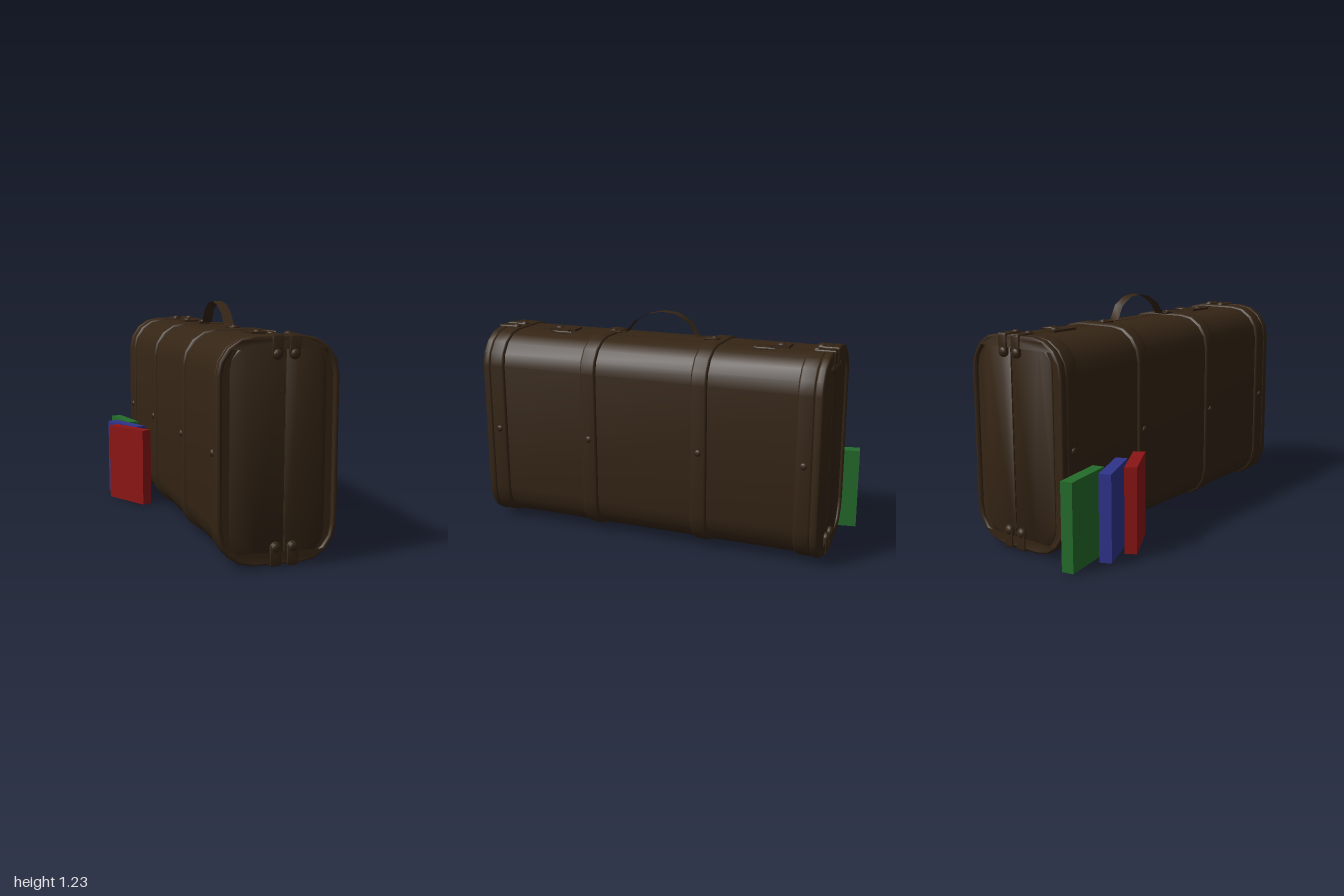
import * as THREE from 'three';
import { toCreasedNormals } from 'three/addons/utils/BufferGeometryUtils.js';

const leather = new THREE.MeshStandardMaterial({ color: 0x352515 });
const strip = new THREE.MeshStandardMaterial({ color: 0x352515, side: THREE.DoubleSide });
const CX = 0.0975, CY = 0.5525, CZ = 0.0325, SEAM = 0.13, TOP = 1.095;

function add(parent, name, geometry, x = 0, y = 0, z = 0, material = leather) {
  const mesh = new THREE.Mesh(geometry, material);
  mesh.name = name;
  mesh.position.set(x, y, z);
  parent.add(mesh);
  return mesh;
}

// Counter-clockwise rectangle with separate corner radii on its -x and +x sides
function outline(x0, x1, y0, y1, r0, r1) {
  const pts = [];
  [[x1, y1, r1, 1, 1], [x0, y1, r0, -1, 1], [x0, y0, r0, -1, -1], [x1, y0, r1, 1, -1]]
    .forEach(([x, y, r, sx, sy], k) => {
      const n = r ? 4 : 0;
      for (let i = 0; i <= n; i++) {
        const a = (k + (n ? i / n : 0)) * Math.PI / 2;
        pts.push(new THREE.Vector2(x - sx * r + r * Math.cos(a), y - sy * r + r * Math.sin(a)));
      }
    });
  return pts;
}

function extrude(shape, depth, bevel = 0, bevelSegments = 2) {
  return toCreasedNormals(new THREE.ExtrudeGeometry(shape, {
    depth: depth - 2 * bevel, bevelEnabled: bevel > 0, bevelThickness: bevel,
    bevelSize: bevel, bevelOffset: -bevel, bevelSegments, curveSegments: 8,
  }).translate(0, 0, bevel), 0.85);
}

// Flat leather tab: round end at the origin, running towards +y
function tabGeometry(width, length, depth) {
  const w = width / 2, shape = new THREE.Shape();
  shape.moveTo(w, 0);
  shape.lineTo(w, length);
  shape.lineTo(-w, length);
  shape.lineTo(-w, 0);
  shape.absarc(0, 0, w, Math.PI, 2 * Math.PI, false);
  return extrude(shape, depth, 0.004);
}

// Domed rivet facing +z
const studGeometry = (r) => new THREE.SphereGeometry(r, 14, 8).scale(1, 1, 0.6);

// Strap folded over the top end edge, measured from the case centre
function cornerStrap() {
  const group = new THREE.Group();
  group.name = 'cornerStrap';
  add(group, 'endTab', tabGeometry(0.054, 0.085, 0.02), 0, 0.4575, 0.945);
  add(group, 'endRivet', studGeometry(0.024), 0, 0.4575, 0.96);
  add(group, 'edgeTab', tabGeometry(0.05, 0.095, 0.016), 0, 0.549, 0.867).rotation.x = Math.PI / 2;
  add(group, 'edgeRivet', studGeometry(0.02), 0, 0.546, 0.867).rotation.x = -Math.PI / 2;
  return group;
}

export function createModel() {
  const model = new THREE.Group();
  model.name = 'suitcaseWithBooks';
  const suitcase = new THREE.Group();
  suitcase.name = 'suitcase';
  model.add(suitcase);

  // Two shells with a narrow seam between them, closed by an inner core
  const g = 0.003;
  const shells = [[-0.19, SEAM - g, 0.175, 0], [SEAM + g, 0.382, 0, 0.175]];
  shells.forEach(([x0, x1, r0, r1], i) => {
    add(suitcase, i ? 'leftShell' : 'rightShell',
      extrude(new THREE.Shape(outline(x0, x1, 0.022, 1.083, r0, r1)), 1.88), 0, 0, CZ - 0.94);
    // Slightly raised end panels
    const a = i ? x0 : -0.14, b = i ? 0.335 : x1;
    const panel = new THREE.Shape(outline(a, b, 0.035, 1.07, r0 * 0.75, r1 * 0.75));
    for (const z of [CZ + 0.939, CZ - 0.945]) add(suitcase, 'endPanel', extrude(panel, 0.006, 0.002, 1), 0, 0, z);
  });
  add(suitcase, 'core', extrude(new THREE.Shape(outline(-0.17, 0.36, 0.032, 1.073, 0.165, 0.165)), 1.87), 0, 0, CZ - 0.935);

  // Rolled rims around both ends
  const rim = new THREE.Shape(outline(-0.205, 0.398, 0.01, TOP, 0.185, 0.185));
  rim.holes.push(new THREE.Path(outline(-0.178, 0.371, 0.034, 1.071, 0.16, 0.16).reverse()));
  for (const z of [0.945, -0.925]) add(suitcase, 'endRim', extrude(rim, 0.046, 0.012, 3), 0, 0, z);

  // Four leather bands with a rivet on each side
  const band = extrude(new THREE.Shape(outline(-0.203, 0.395, 0.012, 1.093, 0.183, 0.183)), 0.09, 0.013, 3);
  for (const z of [0.907, 0.35, -0.28, -0.838]) {
    add(suitcase, 'band', band, 0, 0, z - 0.045);
    add(suitcase, 'sideRivet', studGeometry(0.019), -0.203, 0.55, z).rotation.y = -Math.PI / 2;
    add(suitcase, 'sideRivet', studGeometry(0.019), 0.392, 0.55, z).rotation.y = Math.PI / 2;
  }

  // Pairs of straps over the top and bottom edges at each end
  for (const x of [0.085, 0.171]) {
    for (const [rx, ry, rz] of [[0, 0, 0], [0, Math.PI, 0], [0, 0, Math.PI], [Math.PI, 0, 0]]) {
      const strap = cornerStrap();
      strap.position.set(x, CY, CZ);
      strap.rotation.set(rx, ry, rz);
      suitcase.add(strap);
    }
  }

  // Latches: plate, button and flared hasp
  const hasp = new THREE.Shape();
  hasp.moveTo(0.13, -0.022);
  hasp.lineTo(0.16, -0.022);
  hasp.quadraticCurveTo(0.185, -0.028, 0.205, -0.056);
  hasp.quadraticCurveTo(0.215, 0, 0.205, 0.056);
  hasp.quadraticCurveTo(0.185, 0.028, 0.16, 0.022);
  hasp.lineTo(0.13, 0.022);
  for (const s of [1, -1]) {
    const latch = new THREE.Group();
    latch.name = 'latch';
    latch.position.set(0, 1.08, 0.015);
    add(latch, 'plate', new THREE.BoxGeometry(0.085, 0.016, 0.165), 0.102, 0.007, s * 0.612);
    add(latch, 'button', studGeometry(0.023), 0.102, 0.012, s * 0.645).rotation.x = -Math.PI / 2;
    add(latch, 'hasp', extrude(hasp, 0.014, 0.003), 0, 0, s * 0.58).rotation.x = -Math.PI / 2;
    suitcase.add(latch);
  }

  // Handle: thin arched strip following a (z, y) path
  const path = [[0.34, 1.098], [0.25, 1.095], [0.19, 1.165], [0.11, 1.208], [0.03, 1.224],
    [-0.05, 1.215], [-0.125, 1.172], [-0.165, 1.1], [-0.28, 1.098]];
  const arch = new THREE.PlaneGeometry(0.056, 1, 1, path.length - 1);
  const p = arch.attributes.position;
  for (let i = 0; i < p.count; i++) {
    const [z, y] = path[Math.floor(i / 2)];
    p.setXYZ(i, p.getX(i), y, z);
  }
  arch.computeVertexNormals();
  add(suitcase, 'handle', arch, 0.093, 0, 0, strip);
  for (const [z, turn] of [[0.325, Math.PI], [-0.26, 0]]) {
    const tab = new THREE.Group();
    tab.name = 'handleTab';
    tab.position.set(0.093, TOP, z);
    tab.rotation.y = turn;
    add(tab, 'leatherTab', tabGeometry(0.062, 0.05, 0.012), 0, 0.007, 0).rotation.x = Math.PI / 2;
    add(tab, 'rivet', studGeometry(0.015), 0, 0.006, 0).rotation.x = -Math.PI / 2;
    suitcase.add(tab);
  }

  // Narrow feet under the case
  for (const z of [0.647, 0.06, -0.555]) add(suitcase, 'foot', new THREE.BoxGeometry(0.022, 0.026, 0.168), CX, 0.013, z);

  // Three books leaning on the side
  const books = [
    ['greenBook', 0x256b2b, -0.26, -0.845, 0.18],
    ['blueBook', 0x2f348c, -0.29, -0.65, 0.41],
    ['redBook', 0x8b1515, -0.301, -0.49, 0.515],
  ];
  for (const [name, color, x, z, angle] of books) {
    const material = new THREE.MeshStandardMaterial({ color });
    add(model, name, new THREE.BoxGeometry(0.064, 0.45, 0.303), x, 0.225, z, material).rotation.y = angle;
  }
  return model;
}
